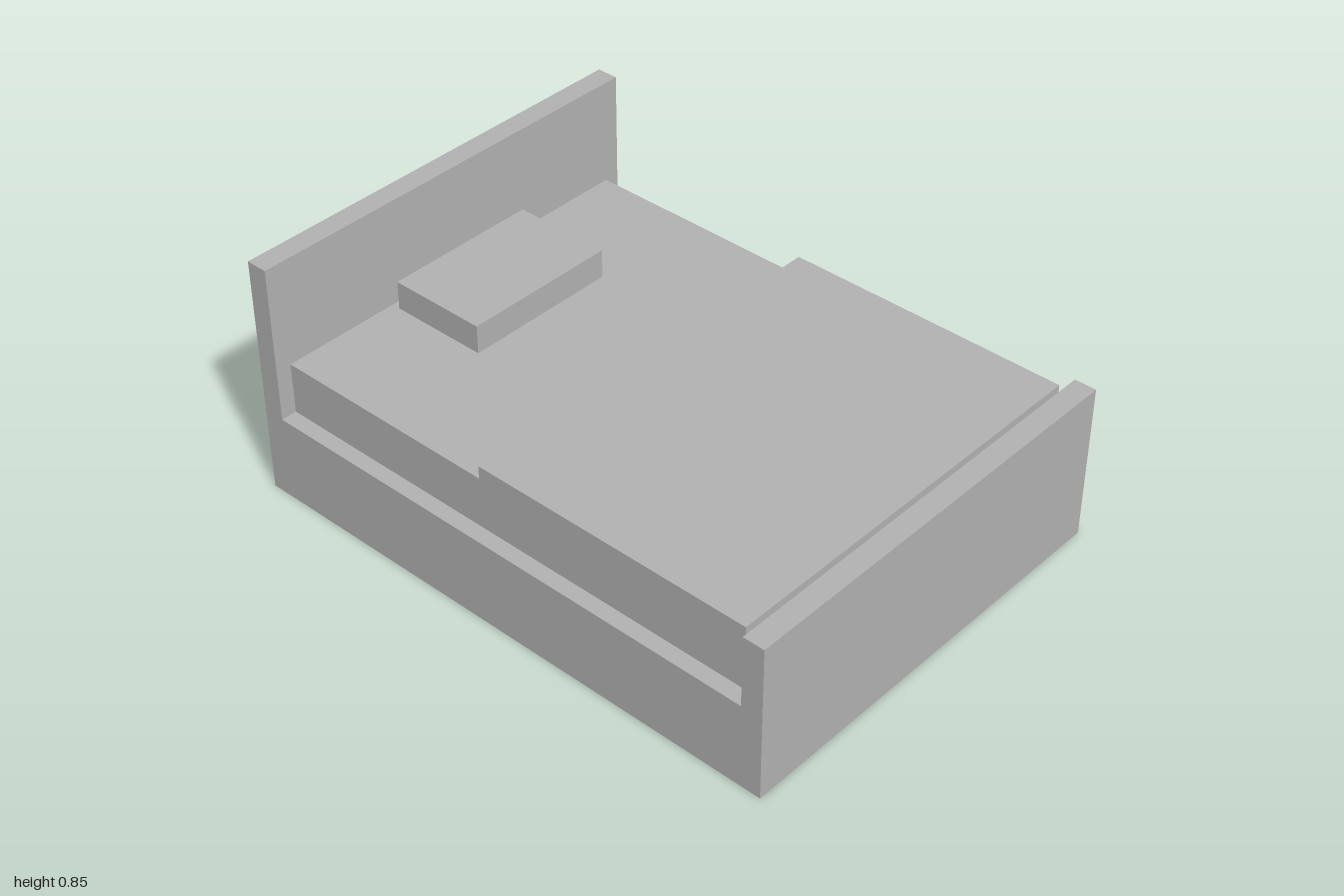
import * as THREE from 'three';

export function createModel() {
  const bed = new THREE.Group();
  bed.name = 'bed';
  const grey = new THREE.MeshStandardMaterial({ color: 0xb2b2b2 });
  grey.name = 'plain grey';

  // Box centred on x, given its width and its y and z extents
  const addBox = (name, width, y0, y1, z0, z1) => {
    const mesh = new THREE.Mesh(new THREE.BoxGeometry(width, y1 - y0, z1 - z0), grey);
    mesh.name = name;
    mesh.position.set(0, (y0 + y1) / 2, (z0 + z1) / 2);
    bed.add(mesh);
  };

  // Frame with end boards
  addBox('bedBase', 1.5, 0, 0.3, -0.925, 0.925);
  addBox('headboard', 1.5, 0, 0.85, -1, -0.925);
  addBox('footboard', 1.5, 0, 0.55, 0.925, 1);

  // Bedding
  addBox('mattress', 1.39, 0.3, 0.48, -0.925, 0.925);
  addBox('blanket', 1.415, 0.48, 0.54, -0.1, 0.9);
  addBox('pillow', 0.55, 0.48, 0.58, -0.895, -0.545);

  return bed;
}
